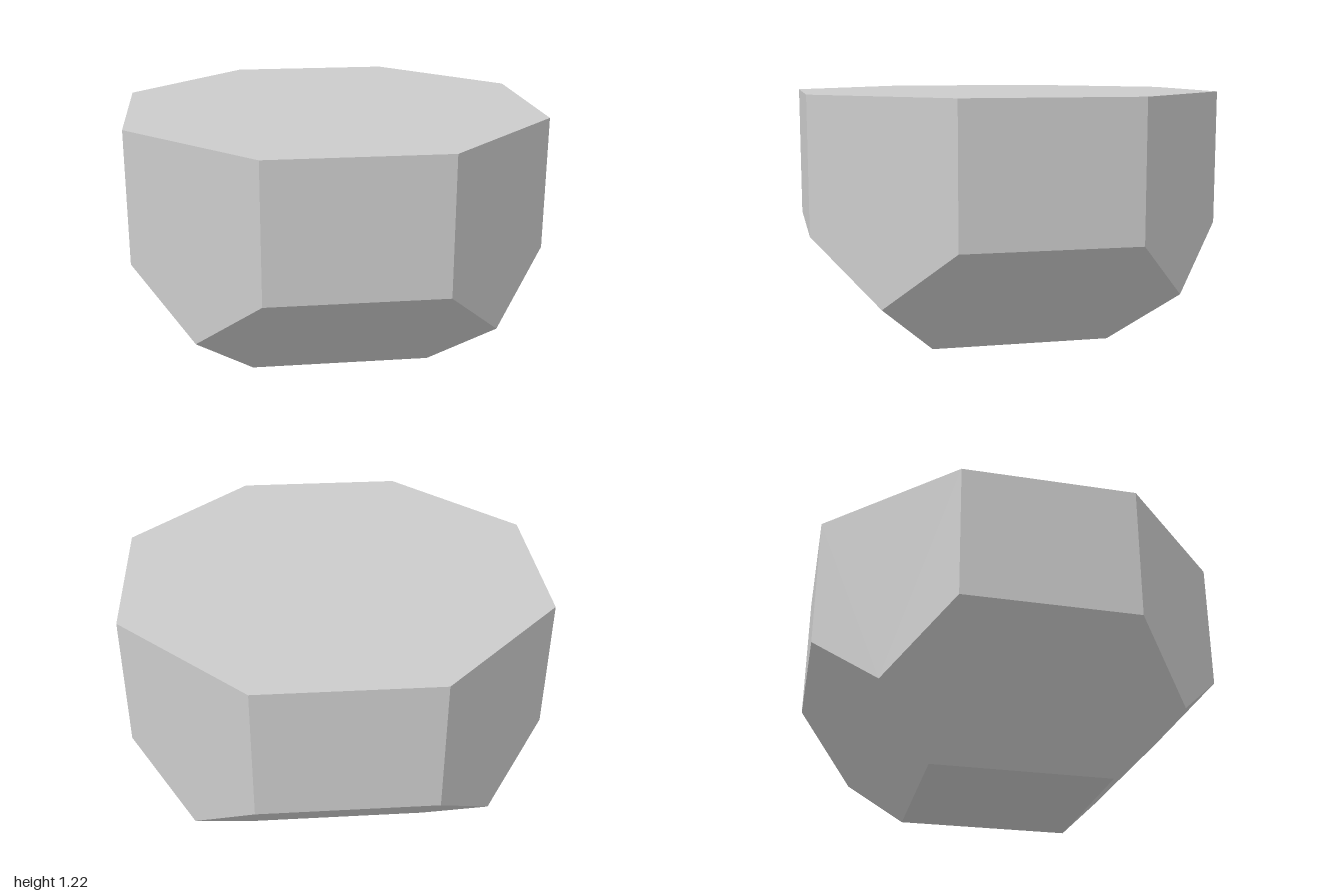
import * as THREE from 'three';
import { ConvexGeometry } from 'three/addons/geometries/ConvexGeometry.js';

export function createModel() {
  const top = 1.215;                 // height of the flat top
  const base = 0.437;                // half width of the square base
  const side = Math.SQRT2 - 1;       // half edge of the regular octagon
  const diag = Math.SQRT1_2;         // where the 45 degree facets meet on the diagonals

  // Corners of one quadrant, mirrored into all four
  const points = [];
  for (const sx of [1, -1]) {
    for (const sz of [1, -1]) {
      const add = (x, y, z) => points.push(new THREE.Vector3(sx * x, y, sz * z));
      add(side, top, 1);
      add(1, top, side);
      add(side, 1 - base, 1);
      add(1, 1 - base, side);
      add(diag, diag - base, diag);
      add(base, 0, base);
    }
  }

  // Octagonal prism tapering through four sloped facets to the base
  const body = new THREE.Mesh(
    new ConvexGeometry(points),
    new THREE.MeshStandardMaterial({ color: 0xcccccc, flatShading: true })
  );
  body.name = 'facetedBody';

  const group = new THREE.Group();
  group.name = 'facetedBlock';
  group.add(body);
  return group;
}
